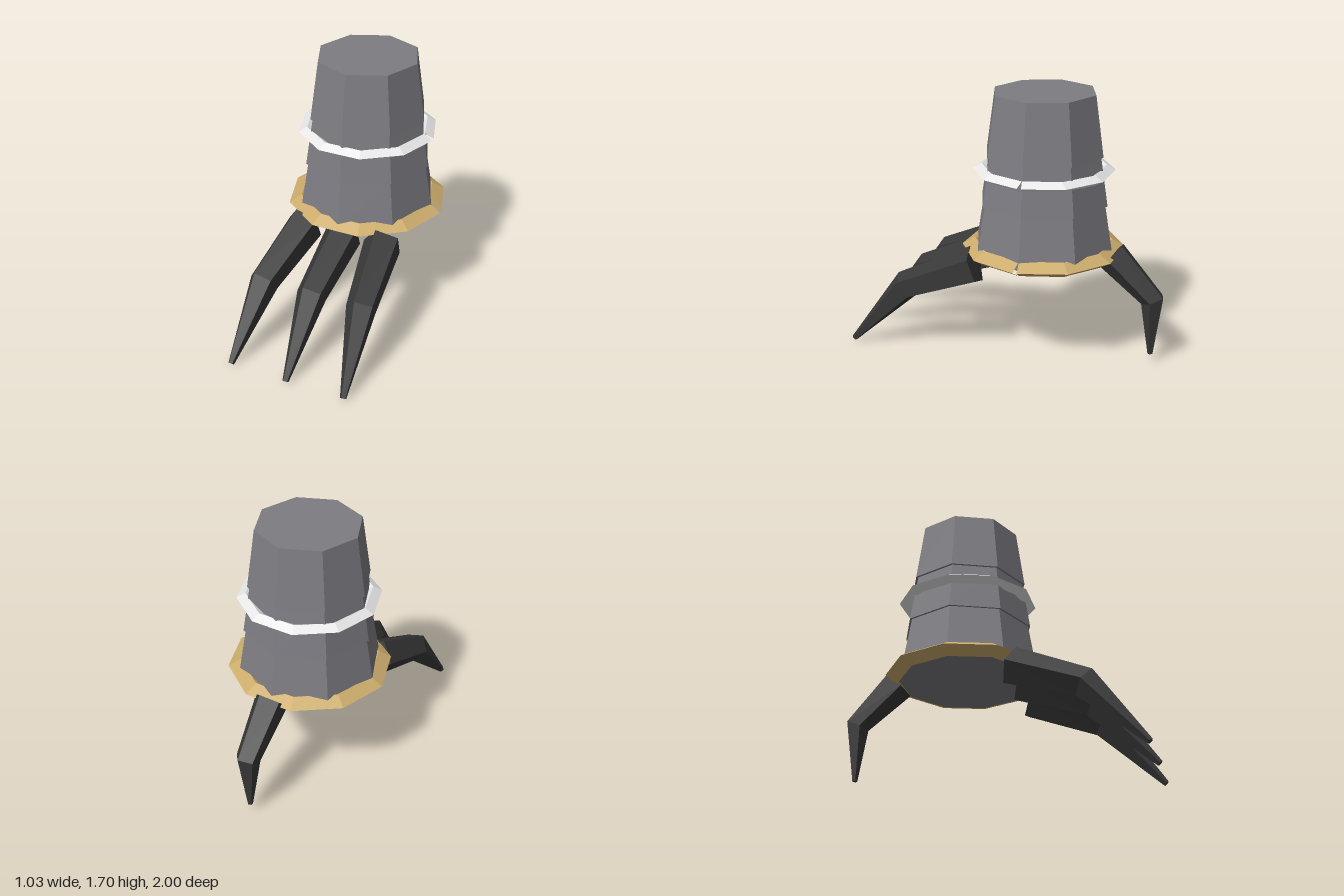
import * as THREE from 'three';

function material(name, color) {
  const m = new THREE.MeshStandardMaterial({ color });
  m.name = name;
  return m;
}

// Separate the corners so every facet gets its own normal
function faceted(geometry) {
  const g = geometry.index ? geometry.toNonIndexed() : geometry;
  g.computeVertexNormals();
  return g;
}

function addMesh(parent, name, geometry, mat) {
  const mesh = new THREE.Mesh(faceted(geometry), mat);
  mesh.name = name;
  parent.add(mesh);
  return mesh;
}

// Ten-sided band with a diamond section and a small V notch at the seam
function bandGeometry(radius, tube, halfHeight) {
  const radial = 4, around = 10;
  const g = new THREE.TorusGeometry(radius, tube, radial, around);
  const p = g.attributes.position;
  for (const j of [0, radial]) {
    p.setY(j * (around + 1), 0.014);
    p.setY(j * (around + 1) + around, -0.014);
  }
  g.scale(1, 1, halfHeight / tube);
  g.rotateX(-Math.PI / 2);
  return g;
}

// Five-sided talon through sections [y, z, forward tilt, radius]
function clawGeometry(sections) {
  const n = 5;
  const rings = sections.map(([y, z, tilt, r]) =>
    Array.from({ length: n }, (_, i) => {
      const a = Math.PI + (i / n) * Math.PI * 2;
      const up = Math.sin(a) * r;
      return [Math.cos(a) * r, y + up * Math.cos(tilt), z + up * Math.sin(tilt)];
    }));
  const out = [];
  const tri = (a, b, c) => out.push(...a, ...b, ...c);
  for (let k = 0; k < rings.length - 1; k++) {
    for (let i = 0; i < n; i++) {
      const j = (i + 1) % n;
      tri(rings[k][i], rings[k][j], rings[k + 1][j]);
      tri(rings[k][i], rings[k + 1][j], rings[k + 1][i]);
    }
  }
  const base = rings[0], tip = rings[rings.length - 1];
  for (let i = 1; i < n - 1; i++) {
    tri(base[0], base[i + 1], base[i]);
    tri(tip[0], tip[i], tip[i + 1]);
  }
  const g = new THREE.BufferGeometry();
  g.setAttribute('position', new THREE.Float32BufferAttribute(out, 3));
  return g;
}

export function createModel() {
  const model = new THREE.Group();
  model.name = 'clawedFoot';

  const grey = material('leg grey', 0x7d7c82);
  const gold = material('gold', 0xccac6c);
  const silver = material('silver', 0xe8e8e8);
  const black = material('claw black', 0x393939);

  // Leg: three overlapping tapered sleeves
  const leg = new THREE.Group();
  leg.name = 'leg';
  leg.position.z = -0.2;
  model.add(leg);
  const sleeves = [
    ['upperSleeve', 0.328, 0.383, 1.7, 1.318],
    ['middleSleeve', 0.368, 0.417, 1.318, 1.008],
    ['lowerSleeve', 0.403, 0.457, 1.008, 0.69],
  ];
  for (const [name, rTop, rBottom, yTop, yBottom] of sleeves) {
    const g = new THREE.CylinderGeometry(rTop, rBottom, yTop - yBottom, 8);
    addMesh(leg, name, g, grey).position.y = (yTop + yBottom) / 2;
  }

  // Sole closing the leg inside the lower band
  const sole = new THREE.CircleGeometry(0.435, 10).rotateX(Math.PI / 2);
  addMesh(leg, 'sole', sole, grey).position.y = 0.655;

  // Bands
  addMesh(leg, 'goldBand', bandGeometry(0.437, 0.08, 0.047), gold).position.y = 0.698;
  addMesh(leg, 'silverBand', bandGeometry(0.39, 0.055, 0.032), silver).position.y = 1.207;

  // Three front claws, the outer ones splayed about their bases
  const frontClaws = [['rightClaw', -1], ['middleClaw', 0], ['leftClaw', 1]];
  for (const [name, s] of frontClaws) {
    const claw = addMesh(model, name, clawGeometry([
      [0.607, 0, 0.35, 0.126],
      [0.425, 0.462, 0.62, 0.098],
      [0.014, 0.83, 0.84, 0.02],
    ]), black);
    claw.position.set(s * 0.275, 0, 0.16);
    claw.rotation.y = s * 0.135;
  }

  // Rear claw, turned to face backwards
  const rear = addMesh(model, 'rearClaw', clawGeometry([
    [0.695, 0.657, 0.77, 0.109],
    [0.43, 0.929, 1.19, 0.079],
    [0.06, 0.925, 1.55, 0.017],
  ]), black);
  rear.rotation.y = Math.PI;

  return model;
}
